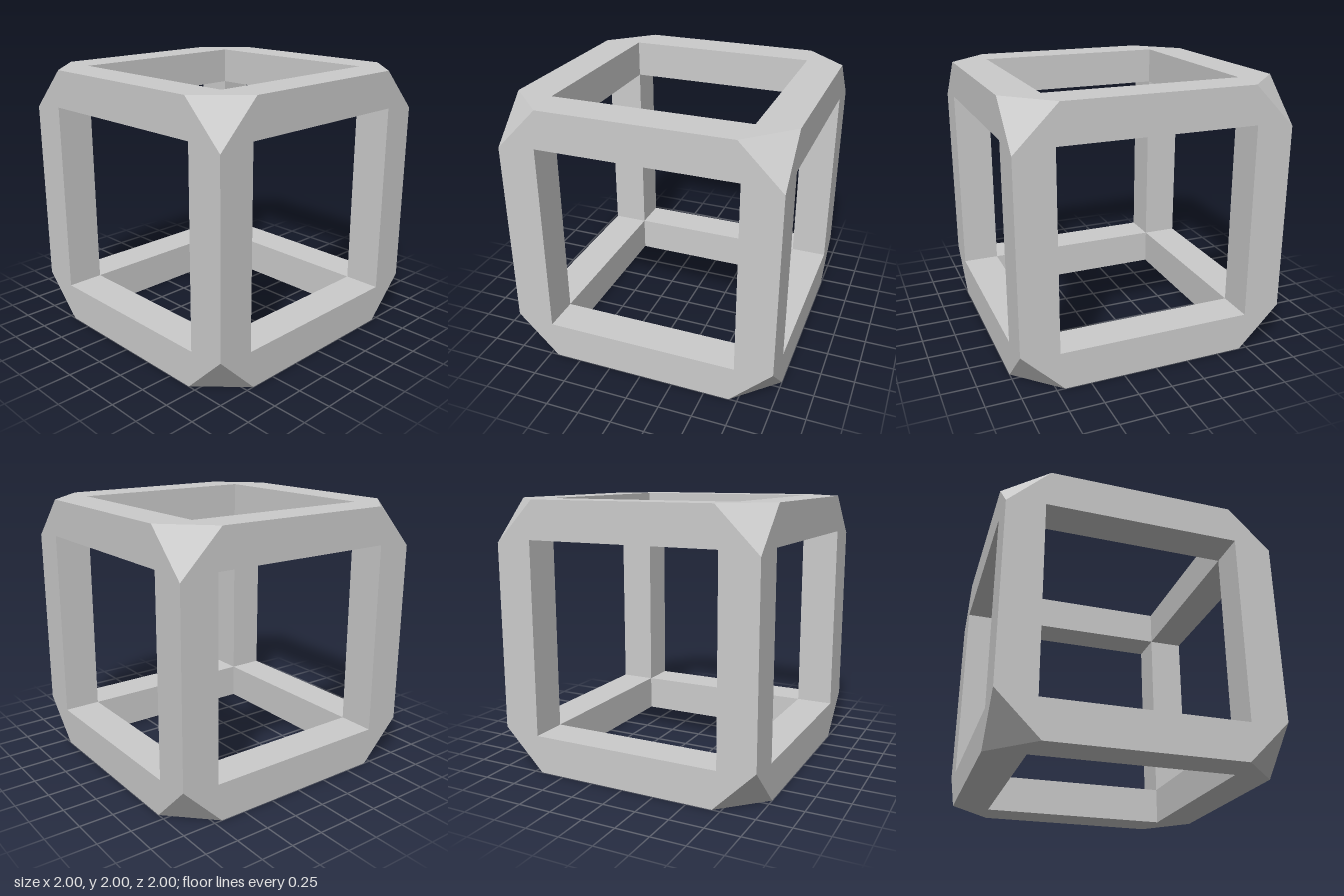
import * as THREE from 'three';
import { mergeGeometries } from 'three/addons/utils/BufferGeometryUtils.js';

const HALF = 1;       // half the cube's edge
const OPEN = 0.72;    // half the width of each square opening
const CUT = 0.69;     // where the corner cuts meet the edges

// One side of the frame facing +z: eight-sided face with a square opening and its four inner walls
function frameSideGeometry() {
  const outline = [
    [HALF, -CUT], [HALF, CUT], [CUT, HALF], [-CUT, HALF],
    [-HALF, CUT], [-HALF, -CUT], [-CUT, -HALF], [CUT, -HALF],
  ].map(([x, y]) => new THREE.Vector2(x, y));
  const shape = new THREE.Shape(outline);
  shape.holes.push(new THREE.Path([
    [-OPEN, -OPEN], [-OPEN, OPEN], [OPEN, OPEN], [OPEN, -OPEN],
  ].map(([x, y]) => new THREE.Vector2(x, y))));

  const parts = [new THREE.ShapeGeometry(shape).translate(0, 0, HALF)];
  for (let i = 0; i < 4; i++) {
    parts.push(new THREE.PlaneGeometry(HALF - OPEN, 2 * OPEN)
      .rotateY(-Math.PI / 2)
      .translate(OPEN, 0, (HALF + OPEN) / 2)
      .rotateZ(i * Math.PI / 2));
  }
  return mergeGeometries(parts);
}

// Triangular facet that cuts off one corner of the cube
function cornerGeometry(sx, sy, sz) {
  const a = [sx * CUT, sy * HALF, sz * HALF];
  const b = [sx * HALF, sy * CUT, sz * HALF];
  const c = [sx * HALF, sy * HALF, sz * CUT];
  // Mirrored corners need the opposite winding to face outward
  const points = sx * sy * sz > 0 ? [a, b, c] : [a, c, b];
  const geometry = new THREE.BufferGeometry();
  geometry.setAttribute('position', new THREE.Float32BufferAttribute(points.flat(), 3));
  geometry.computeVertexNormals();
  return geometry;
}

export function createModel() {
  const model = new THREE.Group();
  model.name = 'cubeFrame';
  const material = new THREE.MeshStandardMaterial({ color: 0xcccccc, flatShading: true });

  const frame = new THREE.Group();
  frame.name = 'frame';
  frame.position.y = HALF;
  model.add(frame);

  // Six sides
  const q = Math.PI / 2;
  const sides = {
    frontSide: [0, 0], leftSide: [0, q], backSide: [0, 2 * q],
    rightSide: [0, -q], topSide: [-q, 0], bottomSide: [q, 0],
  };
  const sideGeometry = frameSideGeometry();
  for (const [name, [rx, ry]] of Object.entries(sides)) {
    const side = new THREE.Mesh(sideGeometry, material);
    side.name = name;
    side.rotation.set(rx, ry, 0);
    frame.add(side);
  }

  // Eight cut corners
  for (const sx of [-1, 1]) for (const sy of [-1, 1]) for (const sz of [-1, 1]) {
    const corner = new THREE.Mesh(cornerGeometry(sx, sy, sz), material);
    corner.name = 'cutCorner';
    frame.add(corner);
  }
  return model;
}
